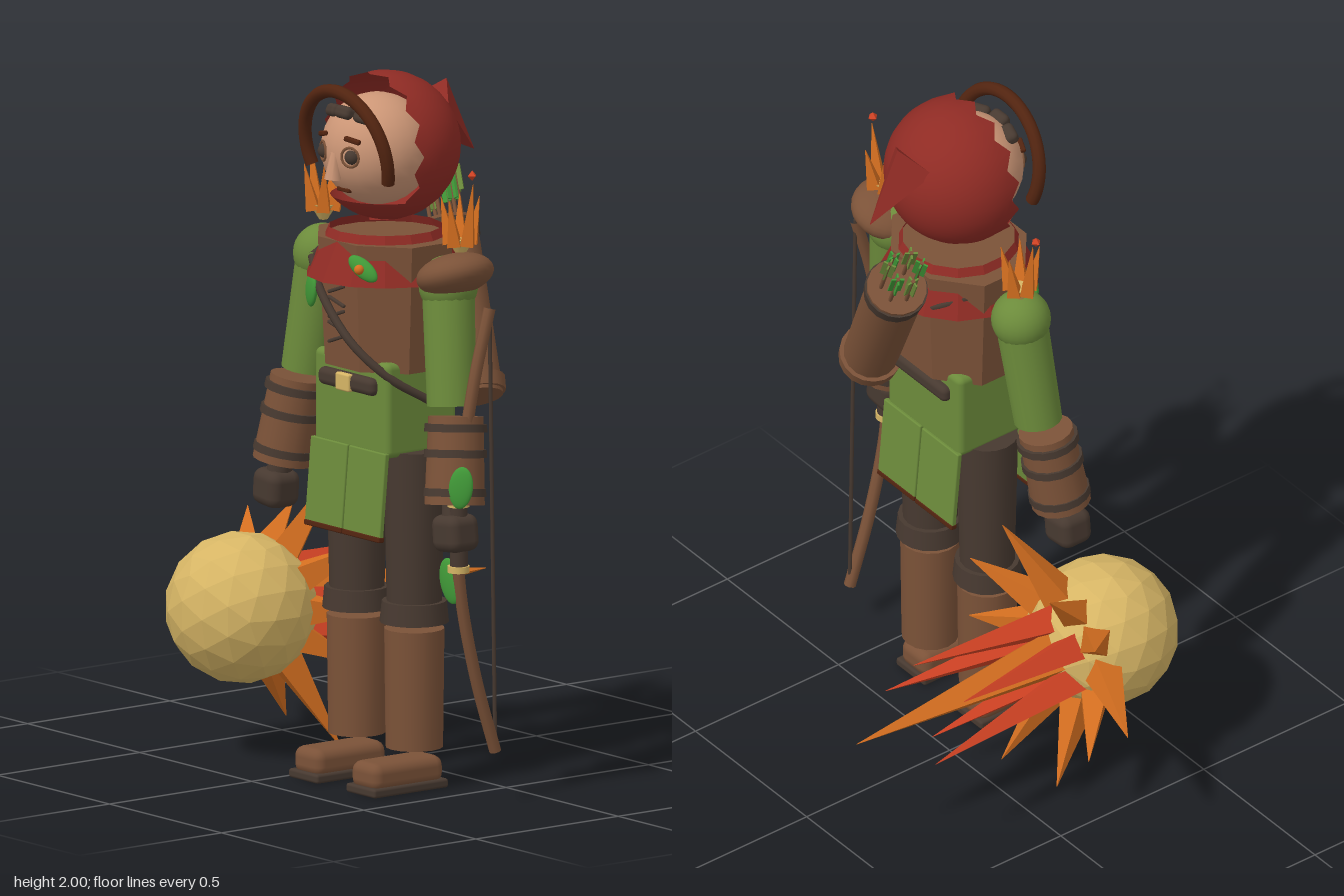
import * as THREE from 'three';
import { RoundedBoxGeometry } from 'three/addons/geometries/RoundedBoxGeometry.js';

const V = (x, y, z) => new THREE.Vector3(x, y, z);
const UP = V(0, 1, 0);

function material(name, color, double) {
  const m = new THREE.MeshStandardMaterial({ color });
  m.name = name;
  if (double) m.side = THREE.DoubleSide;
  return m;
}

const red = material('clothRed', 0x8f2b24, true);
const skin = material('skin', 0xcc9676);
const brown = material('leather', 0x7b5238);
const dark = material('darkLeather', 0x473930);
const green = material('tunicGreen', 0x6c8b3b);
const leafGreen = material('leafGreen', 0x419a38);
const gold = material('gold', 0xd6b565);
const orange = material('flameOrange', 0xd56f20);
const fireRed = material('flameRed', 0xd24324);
const russet = material('russet', 0x522410);

// Faceted normals for the low-poly parts
function flat(geo) {
  const g = geo.index ? geo.toNonIndexed() : geo;
  g.computeVertexNormals();
  return g;
}

function add(parent, name, geo, mat, pos = [0, 0, 0], rot = [0, 0, 0], scale = [1, 1, 1]) {
  const mesh = new THREE.Mesh(geo, mat);
  mesh.name = name;
  mesh.position.set(...pos);
  mesh.rotation.set(...rot);
  mesh.scale.set(...scale);
  parent.add(mesh);
  return mesh;
}

// Cylinder or cone running from point a to point b
function limb(parent, name, mat, a, b, ra, rb, seg = 16) {
  const A = V(...a), B = V(...b), d = B.clone().sub(A);
  let geo = new THREE.CylinderGeometry(rb, ra, d.length(), seg);
  if (seg < 6) geo = flat(geo);
  const mesh = add(parent, name, geo, mat);
  mesh.position.copy(A).add(B).multiplyScalar(0.5);
  mesh.quaternion.setFromUnitVectors(UP, d.normalize());
  return mesh;
}

const box = (w, h, d, r = 0.01) => new RoundedBoxGeometry(w, h, d, 2, r);
const ball = (r) => new THREE.SphereGeometry(r, 24, 16);

function tube(parent, name, mat, points, r, seg = 24) {
  const curve = new THREE.CatmullRomCurve3(points.map(p => V(...p)));
  return add(parent, name, new THREE.TubeGeometry(curve, seg, r, 8), mat);
}

function buildHead(body) {
  const head = new THREE.Group();
  head.name = 'head';
  head.position.set(0, 1.79, 0);
  body.add(head);

  // Open hood with a jagged brim, and the wrap beneath the chin
  const hood = new THREE.SphereGeometry(0.208, 28, 16, 0, Math.PI * 2, 0, 1.72);
  const p = hood.attributes.position;
  for (let i = 16 * 29; i < p.count; i++) p.setY(i, p.getY(i) - ((i - 16 * 29) % 2 ? 0.025 : -0.005));
  hood.rotateX(-Math.PI / 2);
  add(head, 'hood', hood, red);
  add(head, 'hoodChinWrap', new THREE.SphereGeometry(0.206, 28, 8, 0, Math.PI * 2, 2.3, Math.PI - 2.3), red);
  limb(head, 'hoodPoint', red, [0, 0.1, -0.155], [0, -0.05, -0.31], 0.085, 0.001, 4);

  // Face
  add(head, 'face', ball(0.156), skin, [0, -0.005, 0.03]);
  for (const s of [-1, 1]) {
    add(head, 'eye', ball(0.021), dark, [s * 0.06, -0.005, 0.165]);
    add(head, 'eyeRim', new THREE.TorusGeometry(0.027, 0.004, 6, 20), brown, [s * 0.06, -0.005, 0.172], [0, s * 0.4, 0]);
    add(head, 'eyebrow', box(0.05, 0.014, 0.016, 0.005), russet, [s * 0.065, 0.043, 0.168], [0, s * 0.4, -s * 0.2]);
  }
  limb(head, 'nose', skin, [0, -0.075, 0.186], [0, 0.0, 0.178], 0.024, 0.012, 8);
  add(head, 'mouth', box(0.055, 0.012, 0.02, 0.004), russet, [0, -0.108, 0.142]);
  for (const x of [-0.066, 0, 0.066])
    add(head, 'fringe', box(0.062, 0.036, 0.04, 0.014), dark, [x, 0.108 - Math.abs(x) * 0.1, 0.142 - Math.abs(x) * 0.25], [-0.4, x * 5, 0]);

  // Tilted arch in front of the brow
  const arch = new THREE.TorusGeometry(0.18, 0.019, 10, 36, Math.PI + 0.7);
  arch.rotateZ(-0.35);
  add(head, 'browArch', arch, russet, [0, -0.005, 0.137], [0.2, 0, 0]);
}

function buildTorso(body) {
  const jerkin = flat(new THREE.CylinderGeometry(0.225, 0.2, 0.36, 8).rotateY(Math.PI / 8));
  add(body, 'jerkin', jerkin, brown, [0, 1.36, 0], [0, 0, 0], [1, 1, 0.82]);
  add(body, 'cape', flat(new THREE.CylinderGeometry(0.158, 0.222, 0.135, 14, 1, true)), red, [0, 1.497, 0]);
  add(body, 'waist', box(0.33, 0.27, 0.25, 0.02), green, [0, 1.077, 0]);
  for (let i = 0; i < 5; i++)
    add(body, 'lacing', box(0.075, 0.01, 0.01, 0.004), dark, [0, 1.265 + i * 0.035, 0.173], [0, 0, i % 2 ? -0.25 : 0.35]);

  // Belt and skirt panels, front and back
  for (const f of [1, -1]) {
    add(body, 'belt', box(0.245, 0.05, 0.04, 0.018), dark, [0, 1.14, f * 0.128]);
    for (const s of [-1, 1]) {
      const panel = new THREE.Group();
      panel.name = 'skirtPanel';
      panel.position.set(s * 0.085, 0.955, f * 0.125);
      panel.rotation.x = -f * 0.09;
      body.add(panel);
      add(panel, 'skirtCloth', box(0.164, 0.24, 0.016, 0.004), green, [0, -0.115, 0]);
      add(panel, 'skirtHem', box(0.166, 0.016, 0.02, 0.004), russet, [0, -0.236, 0]);
    }
  }
  add(body, 'buckle', box(0.06, 0.05, 0.02, 0.006), gold, [0, 1.14, 0.145]);

  // Strap and leaf ornaments
  tube(body, 'strap', dark, [[-0.15, 1.47, 0.14], [-0.07, 1.395, 0.176], [0.07, 1.265, 0.176], [0.16, 1.17, 0.11], [0.2, 1.1, 0]], 0.012);
  tube(body, 'backStrap', dark, [[-0.15, 1.47, 0.14], [-0.19, 1.5, 0], [-0.1, 1.45, -0.17], [0, 1.4, -0.19]], 0.012);
  add(body, 'chestLeaf', ball(0.05), leafGreen, [-0.115, 1.385, 0.17], [0, -0.4, -0.5], [0.8, 1.05, 0.25]);
  add(body, 'capeLeaf', ball(0.05), leafGreen, [0.115, 1.48, 0.17], [-0.3, 0.5, -0.45], [1.05, 0.5, 0.3]);
  add(body, 'capeJewel', ball(0.014), orange, [0.118, 1.48, 0.186]);
}

function buildLeg(body, s) {
  const leg = new THREE.Group();
  leg.name = s > 0 ? 'leftLeg' : 'rightLeg';
  leg.position.x = s * 0.128;
  body.add(leg);
  limb(leg, 'trouser', dark, [0, 0.48, 0], [0, 0.955, 0], 0.076, 0.086);
  add(leg, 'kneeBand', new THREE.CylinderGeometry(0.09, 0.096, 0.06, 18), dark, [0, 0.498, 0]);
  limb(leg, 'boot', brown, [0, 0.115, 0], [0, 0.45, 0], 0.08, 0.084);
  add(leg, 'foot', box(0.12, 0.08, 0.25, 0.03), brown, [0, 0.052, 0.06]);
  add(leg, 'sole', box(0.13, 0.026, 0.262, 0.008), dark, [0, 0.013, 0.06]);
}

function buildArm(body, s) {
  const arm = new THREE.Group();
  arm.name = s > 0 ? 'leftArm' : 'rightArm';
  body.add(arm);
  add(arm, 'shoulder', ball(0.083), green, [s * 0.28, 1.44, 0]);
  limb(arm, 'upperArm', green, [s * 0.325, 1.11, 0.025], [s * 0.28, 1.44, 0], 0.068, 0.074);
  const top = V(s * 0.352, 1.085, 0.03), end = V(s * 0.384, 0.845, 0.06);
  limb(arm, 'bracer', brown, end.toArray(), top.toArray(), 0.084, 0.077);
  for (const t of [0.13, 0.42, 0.86])
    limb(arm, 'bracerBand', dark, top.clone().lerp(end, t + 0.045).toArray(), top.clone().lerp(end, t - 0.045).toArray(), 0.088, 0.087);
  add(arm, 'hand', box(0.11, 0.105, 0.105, 0.03), dark, [s * 0.4, 0.77, 0.07], [0, 0, s * 0.1]);
  limb(arm, 'wrist', dark, [s * 0.395, 0.79, 0.07], [s * 0.384, 0.86, 0.06], 0.035, 0.035);

  // Shoulder flames with one loose ember
  const x = s > 0 ? 0.315 : -0.297;
  limb(arm, 'flameCup', gold, [x, 1.53, -0.015], [x, 1.575, -0.015], 0.012, 0.04, 8);
  for (let i = 0; i < 5; i++) {
    const a = i * Math.PI * 0.4 + (s > 0 ? 0 : Math.PI), c = Math.cos(a), n = Math.sin(a);
    limb(arm, 'shoulderFlame', orange, [x + c * 0.03, 1.56, -0.015 + n * 0.03],
      [x + c * 0.056, i === 0 ? 1.735 : 1.69, -0.015 + n * 0.056], 0.026, 0.001, 4);
  }
  add(arm, 'ember', flat(new THREE.OctahedronGeometry(0.015)), fireRed, [s * 0.367, 1.76, -0.015]);
}

function buildBow(body) {
  const bow = new THREE.Group();
  bow.name = 'bow';
  bow.position.x = 0.413;
  body.add(bow);
  tube(bow, 'bowLimbs', brown, [[0, 1.39, -0.04], [0, 1.2, 0.012], [0, 1, 0.05], [0, 0.77, 0.072], [0, 0.6, 0.062],
    [0, 0.36, 0.01], [0, 0.14, -0.06]], 0.017, 32);
  limb(bow, 'bowString', dark, [0, 0.14, -0.06], [0, 1.39, -0.04], 0.006, 0.006, 6);
  limb(bow, 'bowGrip', dark, [0, 0.66, 0.067], [0, 0.86, 0.07], 0.025, 0.025);
  for (const y of [0.67, 0.855])
    add(bow, 'gripRing', new THREE.CylinderGeometry(0.031, 0.031, 0.018, 14), gold, [0, y, 0.069]);
  add(bow, 'bowLeaf', ball(0.06), leafGreen, [0.05, 0.91, 0.1], [0, 0.5, -0.15], [0.6, 1, 0.2]);
  add(bow, 'bowLeaf', ball(0.065), leafGreen, [-0.035, 0.63, 0.07], [0, 0, 0.3], [0.68, 1, 0.2]);
}

function buildQuiver(body) {
  const quiver = new THREE.Group();
  quiver.name = 'quiver';
  const bottom = V(0.2, 1.09, -0.16), top = V(-0.05, 1.53, -0.255);
  quiver.position.copy(bottom);
  const axis = top.clone().sub(bottom), L = axis.length();
  quiver.quaternion.setFromUnitVectors(UP, axis.normalize());
  body.add(quiver);
  limb(quiver, 'quiverCase', brown, [0, 0, 0], [0, L, 0], 0.077, 0.084);
  for (const y of [0.03, L - 0.03])
    add(quiver, 'quiverBand', new THREE.CylinderGeometry(0.089, 0.086, 0.04, 18), y < 0.1 ? brown : dark, [0, y, 0]);
  for (let i = 0; i < 6; i++) {
    const a = i * Math.PI / 3, x = Math.cos(a) * 0.045, z = Math.sin(a) * 0.045, h = L + 0.13 + (i % 3) * 0.018;
    limb(quiver, 'arrowShaft', brown, [x, L - 0.05, z], [x, h, z], 0.006, 0.006, 6);
    for (const r of [0, Math.PI / 2])
      add(quiver, 'arrowFletching', new THREE.BoxGeometry(0.036, 0.075, 0.005), i % 2 ? green : leafGreen, [x, h - 0.04, z], [0, r + a, 0]);
  }
}

function buildFireOrb(root) {
  const orb = new THREE.Group();
  orb.name = 'fireOrb';
  orb.position.set(-0.27, 0.425, 0.325);
  root.add(orb);
  add(orb, 'orb', flat(new THREE.IcosahedronGeometry(0.212, 2)), gold);
  // Ring of outward spikes
  [0.28, 0.34, 0.42, 0.27, 0.355, 0.435, 0.32, 0.375, 0.43, 0.27].forEach((r, i) => {
    const c = Math.cos(i * Math.PI / 5), n = Math.sin(i * Math.PI / 5);
    limb(orb, 'ringSpike', orange, [c * 0.12, n * 0.12, -0.1], [c * r, n * r, -0.25], 0.062, 0.001, 4);
  });
  // Trailing spikes
  [-0.645, -0.625, -0.575, -0.675, -0.56].forEach((z, i) => {
    const a = i * Math.PI * 0.4, c = Math.cos(a), n = Math.sin(a);
    limb(orb, 'trailSpike', fireRed, [c * 0.09, n * 0.09, -0.15], [c * 0.145, n * 0.145, z], 0.055, 0.001, 4);
  });
  limb(orb, 'centreSpike', orange, [0, 0, -0.17], [0, 0, -0.86], 0.085, 0.001, 4);
}

export function createModel() {
  const root = new THREE.Group();
  root.name = 'archer';
  const body = new THREE.Group();
  body.name = 'body';
  body.position.set(0.21, 0, 0.195);
  root.add(body);
  buildHead(body);
  buildTorso(body);
  for (const s of [-1, 1]) {
    buildLeg(body, s);
    buildArm(body, s);
  }
  // Single pauldron on the left shoulder
  add(body, 'pauldron', ball(0.106), brown, [0.31, 1.475, 0], [0, 0, 0.33], [1, 0.55, 1.05]);
  buildBow(body);
  buildQuiver(body);
  buildFireOrb(root);
  return root;
}
